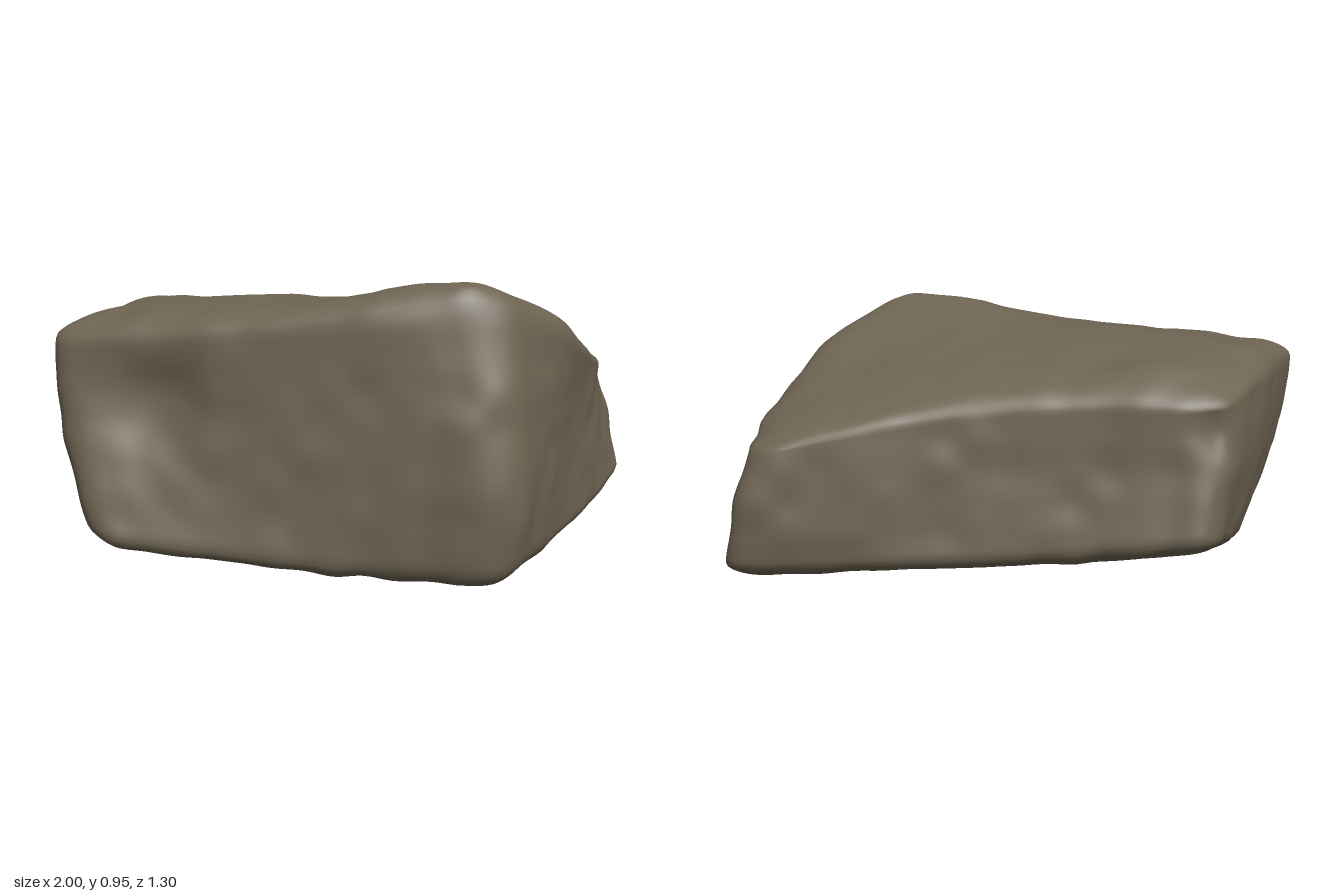
import * as THREE from 'three';
import { mergeVertices } from 'three/addons/utils/BufferGeometryUtils.js';

// Control lattice: layers bottom, middle, top; rows back, middle, front; points left, middle, right
const LATTICE = [
  [
    [[-0.5, 0.27, -0.65], [0.15, 0.19, -0.45], [0.99, 0.16, -0.34]],
    [[-0.7, 0.14, -0.13], [0.05, 0.1, 0.05], [0.73, 0.08, 0.15]],
    [[-0.85, 0.1, 0.38], [-0.2, 0.03, 0.49], [0.42, 0.01, 0.62]],
  ],
  [
    [[-0.53, 0.53, -0.61], [0.15, 0.46, -0.42], [0.94, 0.41, -0.37]],
    [[-0.76, 0.47, -0.21], [0.02, 0.45, 0], [0.73, 0.41, 0.14]],
    [[-0.97, 0.45, 0.24], [-0.27, 0.43, 0.43], [0.43, 0.45, 0.63]],
  ],
  [
    [[-0.53, 0.72, -0.58], [0.13, 0.71, -0.4], [0.87, 0.58, -0.35]],
    [[-0.78, 0.8, -0.22], [-0.05, 0.83, -0.05], [0.74, 0.72, 0.12]],
    [[-0.99, 0.77, 0.17], [-0.3, 0.83, 0.38], [0.38, 0.93, 0.5]],
  ],
];

// Local hollows (negative) and bulges (positive): centre, radius, depth
const DENTS = [
  [[-0.66, 0.54, 0.34], 0.16, -0.05],
  [[-0.8, 0.25, 0.33], 0.12, 0.015],
  [[-0.54, 0.63, -0.6], 0.08, -0.035],
  [[-0.7, 0.81, -0.2], 0.12, 0.012],
  [[-0.4, 0.78, -0.4], 0.14, 0.025],
  [[0.22, 0.9, 0.34], 0.24, 0.035],
  [[0.6, 0.83, 0.28], 0.16, 0.025],
];

// Quadratic weights through -1, 0 and 1
const weights = (t) => [t * (t - 1) / 2, 1 - t * t, t * (t + 1) / 2];

function latticePoint(p) {
  const wx = weights(p.x), wy = weights(p.y), wz = weights(p.z);
  const out = new THREE.Vector3();
  LATTICE.forEach((layer, j) => layer.forEach((row, k) => row.forEach((c, i) => {
    const w = wx[i] * wy[j] * wz[k];
    out.x += c[0] * w;
    out.y += c[1] * w;
    out.z += c[2] * w;
  })));
  return out;
}

// Smooth seeded value noise in -1..1
function hash(x, y, z) {
  let h = Math.imul(x, 374761393) ^ Math.imul(y, 668265263) ^ Math.imul(z, 1274126177);
  h = Math.imul(h ^ (h >>> 13), 1103515245);
  return ((h ^ (h >>> 16)) >>> 0) / 2147483648 - 1;
}

function noise(x, y, z) {
  const cell = [x, y, z].map(Math.floor);
  const f = [x - cell[0], y - cell[1], z - cell[2]].map((t) => t * t * (3 - 2 * t));
  let sum = 0;
  for (let n = 0; n < 8; n++) {
    const b = [n & 1, (n >> 1) & 1, n >> 2];
    const w = b.reduce((a, bit, i) => a * (bit ? f[i] : 1 - f[i]), 1);
    sum += w * hash(cell[0] + b[0], cell[1] + b[1], cell[2] + b[2]);
  }
  return sum;
}

function rockGeometry() {
  let geo = new THREE.BoxGeometry(2, 2, 2, 60, 36, 44);
  geo.deleteAttribute('uv');
  geo.deleteAttribute('normal');
  geo = mergeVertices(geo, 1e-4);
  const pos = geo.attributes.position;
  const p = new THREE.Vector3(), core = new THREE.Vector3();
  const radius = 0.17, inner = 1 - radius;
  const swell = 1.045; // puts the rounded edges on the lattice edges

  // Round the box edges, then bend it into the boulder
  for (let i = 0; i < pos.count; i++) {
    p.fromBufferAttribute(pos, i);
    core.copy(p).clampScalar(-inner, inner);
    p.sub(core).normalize().multiplyScalar(radius).add(core).multiplyScalar(swell);
    pos.setXYZ(i, ...latticePoint(p).toArray());
  }
  geo.computeVertexNormals();

  // Weather the surface along its normals
  const n = new THREE.Vector3(), centre = new THREE.Vector3();
  for (let i = 0; i < pos.count; i++) {
    p.fromBufferAttribute(pos, i);
    n.fromBufferAttribute(geo.attributes.normal, i);
    let d = 0.008 * noise(p.x * 4 + 7, p.y * 4 + 3, p.z * 4 + 5)
      + 0.007 * noise(p.x * 10 + 1, p.y * 10 + 9, p.z * 10 + 4);
    for (const [c, r, depth] of DENTS) {
      d += depth * Math.exp(-p.distanceToSquared(centre.fromArray(c)) / (r * r));
    }
    p.addScaledVector(n, d);
    pos.setXYZ(i, p.x, p.y, p.z);
  }

  // Stand it on the ground
  geo.computeBoundingBox();
  geo.translate(0, -geo.boundingBox.min.y, 0);
  geo.computeVertexNormals();
  return geo;
}

export function createModel() {
  const stone = new THREE.MeshStandardMaterial({ color: 0x6e6452 });
  stone.name = 'brown stone';
  const boulder = new THREE.Mesh(rockGeometry(), stone);
  boulder.name = 'boulder';
  const group = new THREE.Group();
  group.name = 'rock';
  group.add(boulder);
  return group;
}
